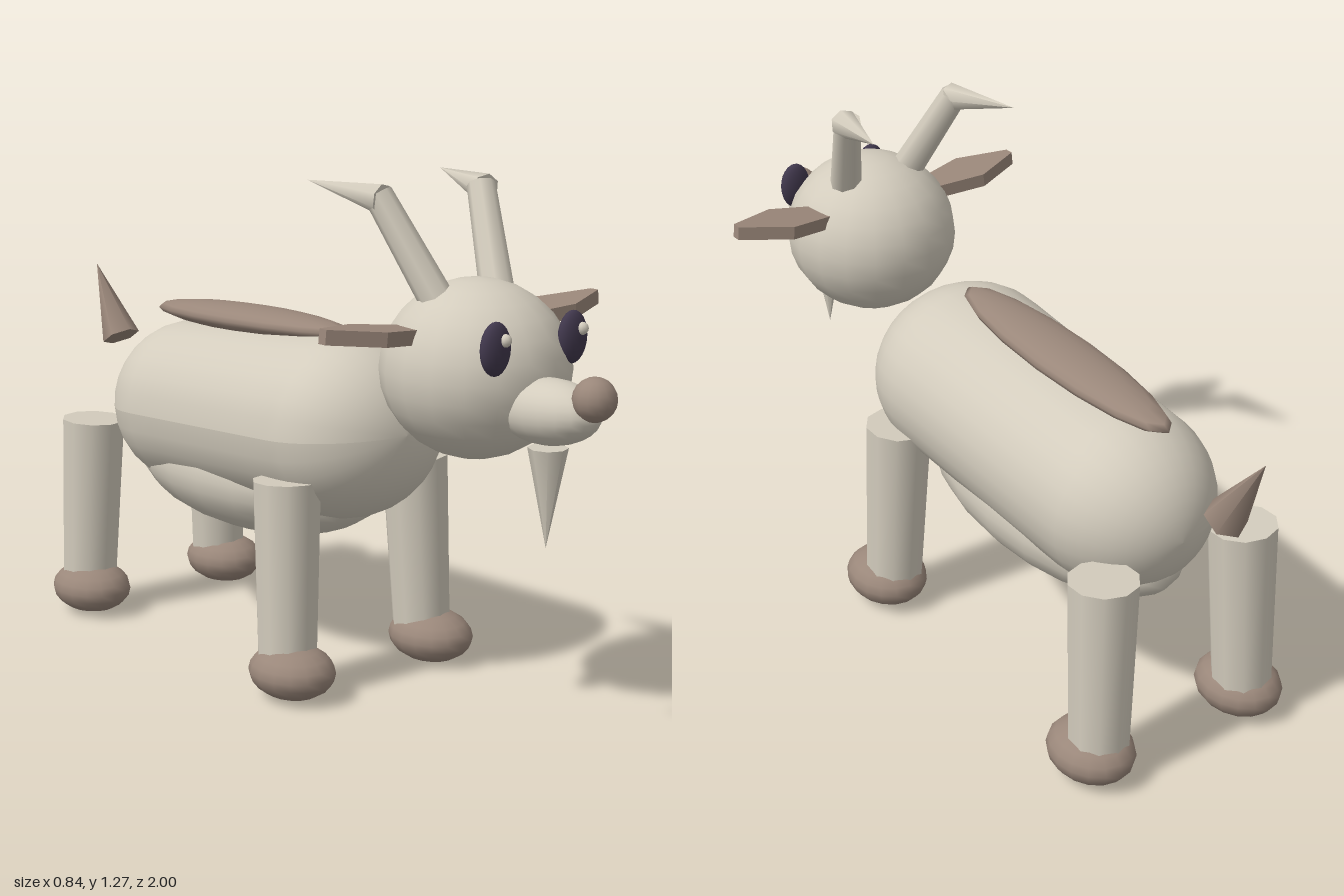
import * as THREE from 'three';

const mat = (name, color) => {
  const m = new THREE.MeshStandardMaterial({ color });
  m.name = name;
  return m;
};

export function createModel() {
  const cream = mat('cream coat', 0xd3ccbd);
  const brown = mat('brown trim', 0x9a877a);
  const dark = mat('dark eye', 0x41384d);
  const goat = new THREE.Group();
  goat.name = 'goat';

  const add = (name, geometry, material, parent = goat) => {
    const m = new THREE.Mesh(geometry, material);
    m.name = name;
    parent.add(m);
    return m;
  };

  const ellipsoid = (name, material, pos, radii, tilt = 0, segs = [20, 14]) => {
    const m = add(name, new THREE.SphereGeometry(1, ...segs), material);
    m.scale.set(...radii);
    m.position.set(...pos);
    m.rotation.x = tilt;
    return m;
  };

  // Tapered round bar between two points; a zero end radius gives a cone
  const bar = (name, material, from, to, r0, r1, sides) => {
    const a = new THREE.Vector3(...from), b = new THREE.Vector3(...to);
    const dir = b.clone().sub(a);
    const m = add(name, new THREE.CylinderGeometry(r1, r0, dir.length(), sides), material);
    m.position.copy(a).add(b).multiplyScalar(0.5);
    m.quaternion.setFromUnitVectors(new THREE.Vector3(0, 1, 0), dir.normalize());
    return m;
  };

  // Body: capsule narrowing towards the rump and sloping down
  const bodyGeo = new THREE.CapsuleGeometry(0.23, 0.625, 10, 28, 6).rotateX(Math.PI / 2);
  const p = bodyGeo.attributes.position;
  for (let i = 0; i < p.count; i++) {
    const t = (p.getZ(i) + 0.54) / 1.08;
    p.setX(i, p.getX(i) * (0.95 + 0.15 * t));
    p.setY(i, p.getY(i) * (0.95 + 0.05 * t));
  }
  bodyGeo.computeVertexNormals();
  const body = add('body', bodyGeo, cream);
  body.position.set(0, 0.613, -0.205);
  body.rotation.x = -0.073;

  ellipsoid('belly', cream, [0, 0.46, -0.25], [0.2, 0.155, 0.45], -0.03);
  ellipsoid('backStripe', brown, [0, 0.85, -0.28], [0.082, 0.036, 0.4], -0.045, [16, 10]);

  // Head and face
  ellipsoid('head', cream, [0, 0.857, 0.572], [0.22, 0.208, 0.225], 0, [18, 14]);
  ellipsoid('muzzle', cream, [0, 0.797, 0.81], [0.083, 0.075, 0.145], -0.08);
  ellipsoid('nose', brown, [0, 0.847, 0.948], [0.05, 0.05, 0.05], 0, [14, 10]);
  bar('beard', cream, [0, 0.715, 0.81], [0, 0.484, 0.81], 0.046, 0, 8);

  // Tail
  bar('tail', brown, [0, 0.713, -0.884], [0, 0.905, -1.0], 0.052, 0, 6);

  // Flat leaf outline of an ear, x outward
  const leaf = new THREE.Shape();
  leaf.moveTo(0.15, -0.035);
  leaf.lineTo(0.29, -0.066);
  leaf.lineTo(0.42, -0.012);
  leaf.lineTo(0.42, 0.012);
  leaf.lineTo(0.29, 0.066);
  leaf.lineTo(0.15, 0.035);
  leaf.closePath();
  const earGeo = new THREE.ExtrudeGeometry(leaf, { depth: 0.034, bevelEnabled: false });
  earGeo.translate(-0.3, 0, -0.017).rotateX(-Math.PI / 2);

  for (const [s, side] of [[1, 'left'], [-1, 'right']]) {
    // Eyes and highlights
    ellipsoid(side + 'Eye', dark, [s * 0.118, 0.943, 0.76], [0.042, 0.061, 0.022], 0, [16, 12]);
    ellipsoid(side + 'EyeHighlight', cream, [s * 0.118 + 0.012, 0.963, 0.778], [0.015, 0.015, 0.015], 0, [10, 8]);

    // Ears
    const ear = add(side + 'Ear', earGeo, brown);
    ear.position.set(s * 0.3, 0.961, 0.535);
    ear.rotation.set(0, s < 0 ? Math.PI : 0, 0.1);
    if (s < 0) ear.rotation.z = 0.1;

    // Horns: straight shaft and a tip swept backwards
    bar(side + 'HornShaft', cream, [s * 0.09, 1.01, 0.545], [s * 0.158, 1.25, 0.41], 0.041, 0.034, 8);
    bar(side + 'HornTip', cream, [s * 0.158, 1.24, 0.425], [s * 0.205, 1.268, 0.213], 0.036, 0, 7);

    // Legs and hooves
    for (const [name, z, hoofZ] of [['Front', 0.132, 0.177], ['Rear', -0.717, -0.714]]) {
      const footZ = name === 'Front' ? 0.15 : -0.733;
      bar(side + name + 'Leg', cream, [s * 0.218, 0.08, footZ], [s * 0.204, 0.537, z], 0.074, 0.085, 10);
      ellipsoid(side + name + 'Hoof', brown, [s * 0.225, 0.07, hoofZ], [0.1, 0.067, 0.118], 0, [16, 10]);
    }
  }
  return goat;
}
